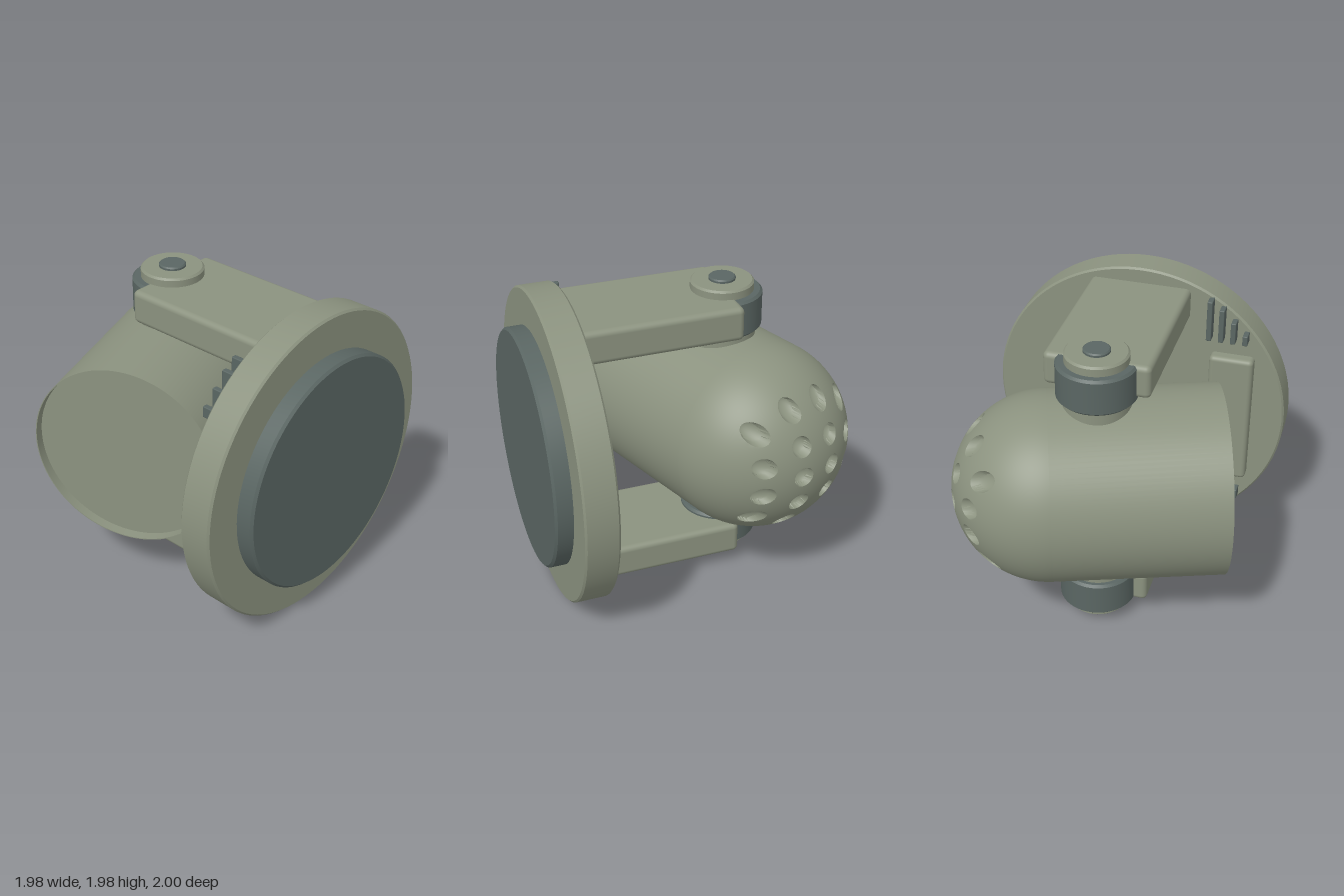
import * as THREE from 'three';
import { toCreasedNormals } from 'three/addons/utils/BufferGeometryUtils.js';
import { RoundedBoxGeometry } from 'three/addons/geometries/RoundedBoxGeometry.js';

const shellPaint = new THREE.MeshStandardMaterial({ color: 0x8b927f });
shellPaint.name = 'greyGreenPaint';
const darkPaint = new THREE.MeshStandardMaterial({ color: 0x5a6663 });
darkPaint.name = 'darkSlatePaint';

function add(parent, name, geometry, material, x = 0, y = 0, z = 0) {
  const mesh = new THREE.Mesh(geometry, material);
  mesh.name = name;
  mesh.position.set(x, y, z);
  parent.add(mesh);
  return mesh;
}

// Smooth normals with sharp creases (scaled up so small facets stay distinct)
function crease(geometry, angle = 0.5) {
  geometry.scale(100, 100, 100);
  const result = toCreasedNormals(geometry, angle);
  result.scale(0.01, 0.01, 0.01);
  return result;
}

// Disc along y with a small bevel at both edges
function disc(radius, height, bevel) {
  const h = height / 2;
  const points = [
    [0, -h], [radius - bevel, -h], [radius, -h + bevel],
    [radius, h - bevel], [radius - bevel, h], [0, h],
  ].map(([r, y]) => new THREE.Vector2(r, y));
  return crease(new THREE.LatheGeometry(points, 96));
}

// Half-sphere facing +z with round pockets drilled parallel to its axis
function perforatedDome(R) {
  const holeRadius = 0.064, depth = 0.07, snap = 0.009;
  const holes = [];
  for (const side of [-1, 1]) {
    for (let i = -2; i <= 2; i++) holes.push([side * 0.115, i * 0.195]);
    for (let i = -1.5; i <= 1.5; i++) holes.push([side * 0.34, i * 0.195]);
  }
  const geometry = new THREE.SphereGeometry(R, 240, 72, 0, Math.PI * 2, 0, Math.PI / 2);
  geometry.rotateX(Math.PI / 2);
  const pos = geometry.attributes.position;
  for (let i = 0; i < pos.count; i++) {
    let x = pos.getX(i), y = pos.getY(i);
    for (const [hx, hy] of holes) {
      let d = Math.hypot(x - hx, y - hy);
      if (d > holeRadius + snap) continue;
      // pull nearby points onto the rim so it stays round
      if (Math.abs(d - holeRadius) < snap) {
        x = hx + (x - hx) * holeRadius / d;
        y = hy + (y - hy) * holeRadius / d;
        d = holeRadius;
      }
      const sink = depth * Math.sqrt(Math.max(0, 1 - (d / holeRadius) ** 2));
      pos.setXYZ(i, x, y, Math.sqrt(R * R - x * x - y * y) - sink);
      break;
    }
  }
  return crease(geometry);
}

function createHead() {
  const head = new THREE.Group();
  head.name = 'head';
  add(head, 'perforatedDome', perforatedDome(0.6), shellPaint);
  // Barrel with a shallow recessed mouth
  const profile = [[0, -1.0], [0.592, -1.0], [0.594, -1.06], [0.6, -1.06], [0.6, 0]]
    .map(([r, y]) => new THREE.Vector2(r, y));
  const barrel = crease(new THREE.LatheGeometry(profile, 120));
  barrel.rotateX(Math.PI / 2);
  add(head, 'barrel', barrel, shellPaint);
  head.position.set(0.28, 1, -0.4);
  head.rotation.y = THREE.MathUtils.degToRad(110);
  return head;
}

// Arm and swivel joint; side is +1 for the upper one, -1 for the lower one
function createYokeSide(side) {
  const yoke = new THREE.Group();
  yoke.name = side > 0 ? 'upperYoke' : 'lowerYoke';
  const at = (y) => 1 + side * y;
  const pivotZ = -0.29;
  add(yoke, 'arm', new RoundedBoxGeometry(0.66, 0.215, 1.03, 4, 0.035), shellPaint, 0, at(0.7825), 0.2);
  add(yoke, 'swivelHousing', disc(0.247, 0.237, 0.015), darkPaint, 0, at(0.7665), pivotZ);
  add(yoke, 'neck', disc(0.21, 0.16, 0.005), shellPaint, 0, at(0.575), pivotZ);
  add(yoke, 'swivelCap', disc(0.195, 0.08, 0.012), shellPaint, 0, at(0.905), pivotZ);
  add(yoke, 'swivelPin', disc(0.083, 0.05, 0.008), darkPaint, 0, at(0.94), pivotZ);
  return yoke;
}

function createBase() {
  const base = new THREE.Group();
  base.name = 'base';
  add(base, 'basePlate', disc(0.99, 0.21, 0.012), shellPaint, 0, 1, 0.785).rotation.x = Math.PI / 2;
  add(base, 'mountingDisc', disc(0.75, 0.13, 0.015), darkPaint, 0, 1, 0.935).rotation.x = Math.PI / 2;
  add(base, 'rearPanel', new RoundedBoxGeometry(0.29, 0.93, 0.11, 4, 0.03), shellPaint, -0.625, 1, 0.66);
  // Stepped ribs above and below the panel
  const lengths = [0.28, 0.23, 0.15, 0.07];
  for (const side of [-1, 1]) {
    lengths.forEach((length, i) => {
      add(base, 'rib', new RoundedBoxGeometry(0.034, length, 0.08, 2, 0.006), darkPaint,
        -0.47 - i * 0.079, 1 + side * (0.575 + length / 2), 0.65);
    });
  }
  return base;
}

export function createModel() {
  const model = new THREE.Group();
  model.name = 'swivelSpotlight';
  model.add(createBase(), createYokeSide(1), createYokeSide(-1), createHead());
  return model;
}
